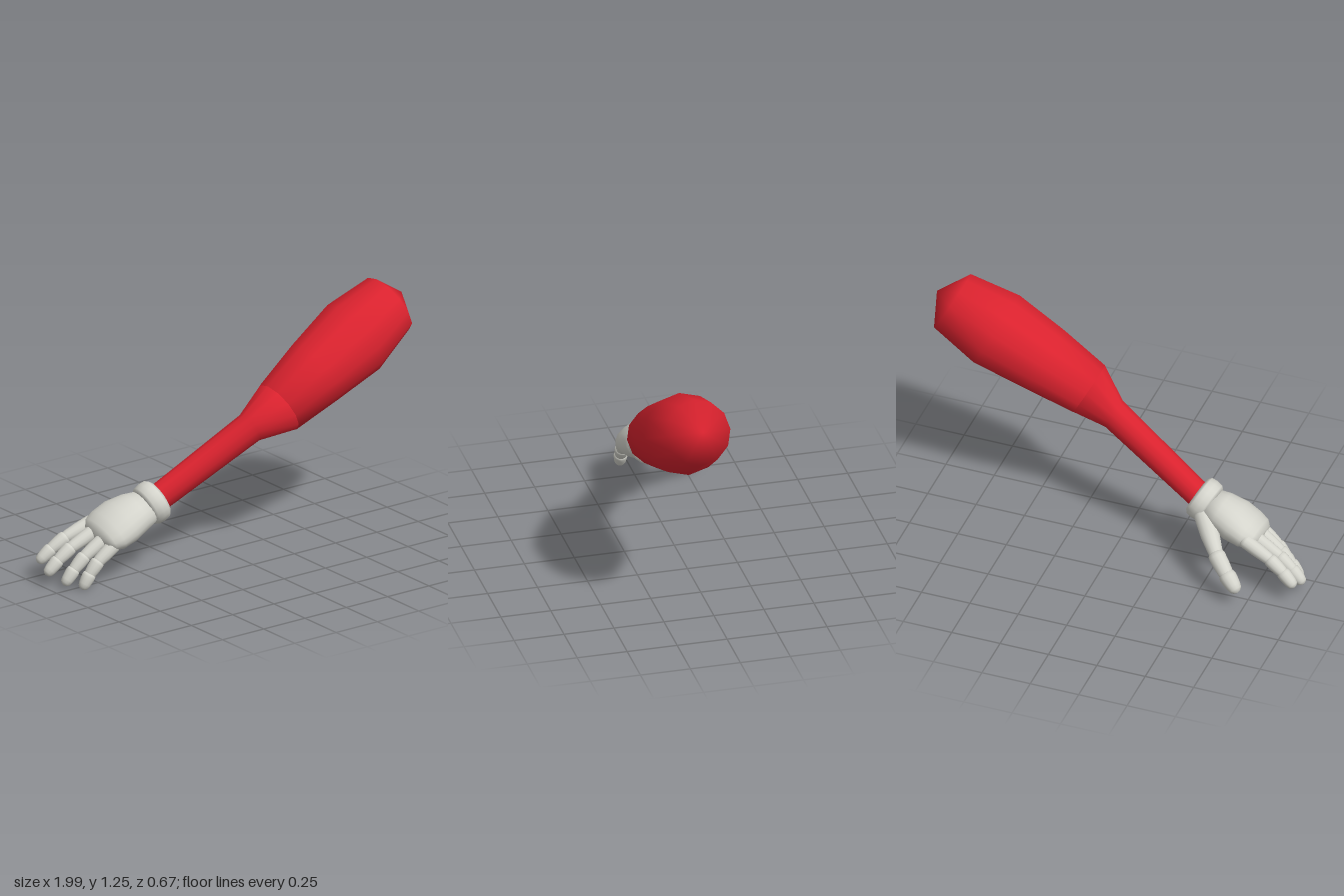
import * as THREE from 'three';

const V = (x, y, z) => new THREE.Vector3(x, y, z);

// Skin of elliptical rings [x, y, z, halfU, halfV] set in the plane u, v; closed with a point at each end
function loft(rings, u, v, sides, startTip, endTip) {
  const pos = [], idx = [];
  for (const [x, y, z, a, b] of rings) {
    for (let j = 0; j < sides; j++) {
      const t = (j / sides) * Math.PI * 2;
      const p = V(x, y, z).addScaledVector(u, a * Math.cos(t)).addScaledVector(v, b * Math.sin(t));
      pos.push(p.x, p.y, p.z);
    }
  }
  const last = (rings.length - 1) * sides, s = rings.length * sides, e = s + 1;
  pos.push(...startTip, ...endTip);
  for (let j = 0; j < sides; j++) {
    const k = (j + 1) % sides;
    for (let o = 0; o < last; o += sides) {
      idx.push(o + j, o + k, o + sides + k, o + j, o + sides + k, o + sides + j);
    }
    idx.push(s, k, j, e, last + j, last + k);
  }
  const g = new THREE.BufferGeometry();
  g.setAttribute('position', new THREE.Float32BufferAttribute(pos, 3));
  g.setIndex(idx);
  g.computeVertexNormals();
  return g;
}

// Lathe profile of [radius, height] pairs
const lathe = (pts, sides) => new THREE.LatheGeometry(pts.map(([r, h]) => new THREE.Vector2(r, h)), sides);

export function createModel() {
  const model = new THREE.Group();
  const red = new THREE.MeshStandardMaterial({ color: 0xda222e });
  red.name = 'red sleeve';
  const grey = new THREE.MeshStandardMaterial({ color: 0xd4d4cc });
  grey.name = 'pale grey glove';

  const add = (parent, geometry, material, name) => {
    const mesh = new THREE.Mesh(geometry, material);
    mesh.name = name;
    parent.add(mesh);
    return mesh;
  };

  // Arm: swollen upper arm, then a thin forearm that flares into it
  const armU = V(-0.47, 0.88, 0).normalize(), armV = V(0, 0, 1);
  add(model, loft([
    [0.225, 0.748, 0.155, 0.139, 0.141],
    [0.45, 0.872, 0.146, 0.172, 0.176],
    [0.695, 1.0, 0.135, 0.2, 0.202],
    [0.918, 1.12, 0.122, 0.16, 0.16],
  ], armU, armV, 12, [0.225, 0.748, 0.155], [0.997, 1.161, 0.12]), red, 'upperArm');
  add(model, loft([
    [-0.43, 0.353, 0.003, 0.07, 0.062],
    [-0.39, 0.377, 0.012, 0.07, 0.062],
    [0.08, 0.662, 0.115, 0.08, 0.072],
    [0.225, 0.748, 0.155, 0.138, 0.14],
  ], armU, armV, 12, [-0.43, 0.353, 0.003], [0.24, 0.755, 0.155]), red, 'forearm');

  const hand = new THREE.Group();
  hand.name = 'hand';
  model.add(hand);

  // Rolled wrist cuff
  const cuff = add(hand, lathe([
    [0.055, 0.04], [0.092, 0.045], [0.106, 0.03], [0.109, 0],
    [0.104, -0.03], [0.09, -0.045], [0.055, -0.04],
  ].reverse(), 20), grey, 'wristCuff');
  cuff.position.set(-0.43, 0.357, 0.005);
  cuff.quaternion.setFromUnitVectors(V(0, 1, 0), V(0.89, 0.43, 0.1).normalize());

  // Palm
  const along = V(-0.92, -0.37, -0.07).normalize();
  const across = V(0, 0.22, -0.97);
  across.addScaledVector(along, -across.dot(along)).normalize();
  const up = along.clone().cross(across);
  add(hand, loft([
    [-0.45, 0.345, 0.0, 0.09, 0.08],
    [-0.52, 0.325, -0.01, 0.118, 0.092],
    [-0.6, 0.293, -0.018, 0.14, 0.098],
    [-0.67, 0.262, -0.023, 0.143, 0.086],
    [-0.715, 0.246, -0.024, 0.13, 0.066],
    [-0.738, 0.236, -0.024, 0.1, 0.042],
  ], across, up, 20, [-0.45, 0.345, 0], [-0.746, 0.233, -0.024]), grey, 'palm');

  // Jointed digits: tapering rounded segments between neighbouring joints
  const digit = (name, joints, radii) => {
    const group = new THREE.Group();
    group.name = name;
    hand.add(group);
    for (let i = 0; i < joints.length - 1; i++) {
      const a = V(...joints[i]), dir = V(...joints[i + 1]).sub(a);
      const L = dir.length(), r = radii[i], q = radii[i + 1] * 0.88;
      const seg = add(group, lathe([
        [0, -0.55 * r], [0.6 * r, -0.42 * r], [0.93 * r, -0.1 * r], [r, 0.25 * r],
        [0.96 * r, L * 0.5], [q, L * 0.88], [q * 0.85, L + q * 0.35], [q * 0.5, L + q * 0.7], [0, L + q * 0.85],
      ], 14), grey, name + 'Segment');
      seg.position.copy(a);
      seg.quaternion.setFromUnitVectors(V(0, 1, 0), dir.normalize());
    }
  };

  // Four fingers, each from knuckle to tip with a slight downward curl
  const fingers = [
    ['littleFinger', [-0.7, 0.215, 0.062], [-0.866, 0.04, 0.042]],
    ['ringFinger', [-0.715, 0.235, 0.003], [-0.925, 0.055, -0.021]],
    ['middleFinger', [-0.72, 0.255, -0.07], [-0.967, 0.09, -0.106]],
    ['indexFinger', [-0.69, 0.275, -0.135], [-0.952, 0.125, -0.19]],
  ];
  for (const [name, base, tip] of fingers) {
    const at = (t, lift) => base.map((b, k) => b + (tip[k] - b) * t + [-0.5, 0.85, 0][k] * lift);
    digit(name, [base, at(0.5, 0.019), at(0.79, 0.013), tip], [0.036, 0.035, 0.034, 0.034]);
  }
  digit('thumb', [
    [-0.45, 0.325, -0.065], [-0.575, 0.22, -0.222], [-0.65, 0.158, -0.278], [-0.698, 0.113, -0.303],
  ], [0.05, 0.043, 0.043, 0.042]);

  return model;
}
